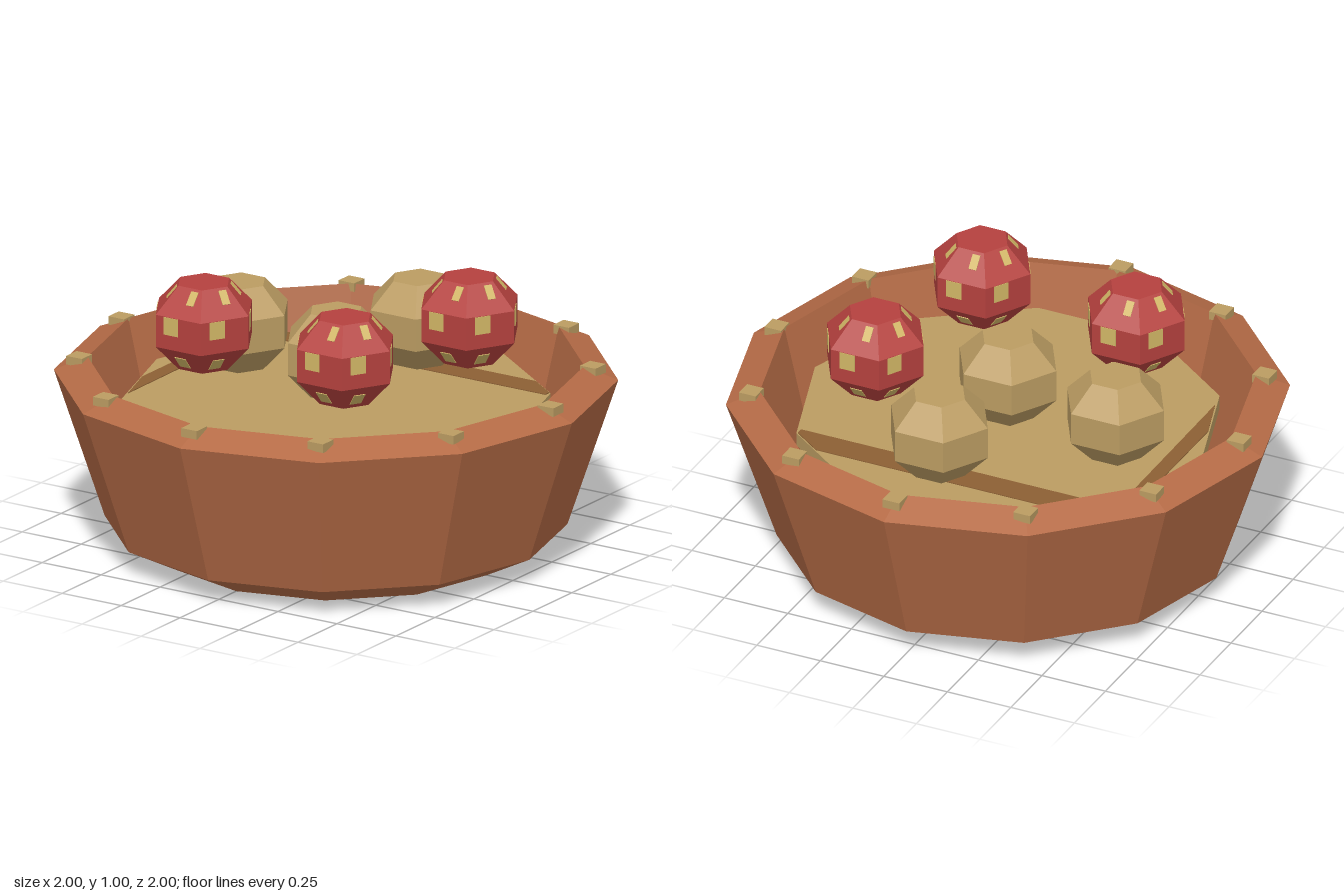
import * as THREE from 'three';

const mat = (name, color) => new THREE.MeshStandardMaterial({ name, color, flatShading: true });

// Faceted solid of revolution; profile runs from the bottom up the outside
function faceted(profile, sides, turn = 0) {
  const points = profile.map(([r, y]) => new THREE.Vector2(r, y));
  const geometry = new THREE.LatheGeometry(points, sides).toNonIndexed();
  geometry.rotateY(turn);
  geometry.computeVertexNormals();
  return geometry;
}

function add(parent, name, geometry, material, x = 0, y = 0, z = 0) {
  const mesh = new THREE.Mesh(geometry, material);
  mesh.name = name;
  mesh.position.set(x, y, z);
  parent.add(mesh);
  return mesh;
}

export function createModel() {
  const model = new THREE.Group();
  model.name = 'bowl';
  const clay = mat('clay', 0xb56b46);
  const tan = mat('tan', 0xbb9c62);
  const brown = mat('brown', 0x8c6034);
  const red = mat('red', 0xb5413e);
  const yellow = mat('yellow', 0xd2b766);

  // Twelve-sided bowl with a sloping rim
  add(model, 'bowlShell', faceted(
    [[0, 0], [0.64, 0], [0.82, 0.09], [1, 0.63], [0.88, 0.68], [0.76, 0.17], [0, 0.14]], 12), clay);

  // Studs around the rim
  const studGeometry = new THREE.BoxGeometry(0.066, 0.032, 0.066);
  for (let i = 0; i < 12; i++) {
    const a = i * Math.PI / 6;
    add(model, 'rimStud', studGeometry, tan, 0.91 * Math.sin(a), 0.669, 0.91 * Math.cos(a));
  }

  // Ten-sided filling with two darker bands lying on it
  add(model, 'filling', faceted([[0, 0.5], [0.76, 0.5], [0.76, 0.55], [0, 0.55]], 10, Math.PI / 2), tan);
  const bands = {
    backBand: [[-0.5, -0.525], [0.5, -0.525], [0.61, -0.445], [0.61, -0.42], [-0.61, -0.42], [-0.61, -0.445]],
    sideBand: [[-0.69, -0.2], [-0.635, -0.37], [-0.63, 0.38], [-0.69, 0.2]],
  };
  for (const [name, outline] of Object.entries(bands)) {
    const shape = new THREE.Shape(outline.map(([x, z]) => new THREE.Vector2(x, -z)));
    const plate = new THREE.ExtrudeGeometry(shape, { depth: 0.004, bevelEnabled: false });
    add(model, name, plate.rotateX(-Math.PI / 2), brown, 0, 0.549, 0);
  }

  // Six-sided balls
  const ballProfile = [[0, -0.155], [0.1, -0.155], [0.19, -0.06], [0.19, 0.06], [0.1, 0.155], [0, 0.155]];
  const ballGeometry = faceted(ballProfile, 6, Math.PI / 6);
  for (const [x, z] of [[0.04, -0.47], [-0.465, -0.085], [0, 0]])
    add(model, 'tanBall', ballGeometry, tan, x, 0.715, z);

  // Spots on each facet: [width, height, sideways, y, distance out, tilt]
  const slope = Math.atan2(0.078, 0.095);
  const spots = [
    [0.06, 0.065, -0.03, 0.026, 0.1645, 0],
    [0.03, 0.055, 0.025, 0.125, 0.1112, -slope],
    [0.045, 0.055, -0.01, -0.115, 0.1194, slope],
  ];
  for (const [x, z] of [[0.4, -0.25], [-0.35, 0.318], [0.284, 0.372]]) {
    const ball = new THREE.Group();
    ball.name = 'spottedBall';
    ball.position.set(x, 0.845, z);
    add(ball, 'redBall', ballGeometry, red);
    for (let k = 0; k < 6; k++) {
      const facet = new THREE.Group();
      facet.name = 'facetSpots';
      facet.rotation.y = k * Math.PI / 3;
      for (const [w, h, side, y, out, tilt] of spots)
        add(facet, 'spot', new THREE.BoxGeometry(w, h, 0.005), yellow, side, y, out).rotation.x = tilt;
      ball.add(facet);
    }
    model.add(ball);
  }
  return model;
}
